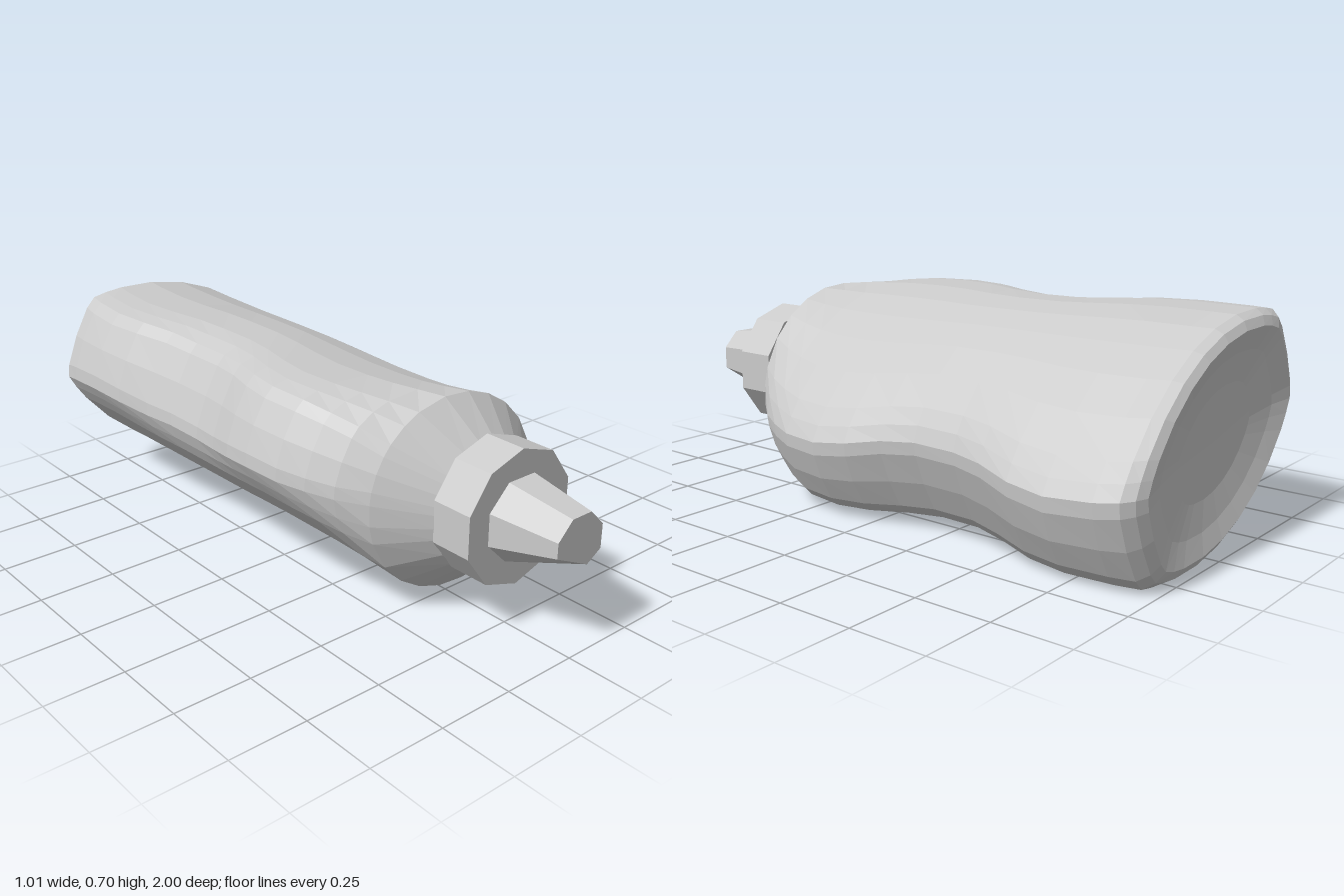
import * as THREE from 'three';

const material = new THREE.MeshStandardMaterial({ color: 0xcccccc, flatShading: true });
const { lerp } = THREE.MathUtils;
const TILT = -25 * Math.PI / 180;
const CENTRE_Y = 0.35;
const NECK_R = 0.198;

// Cross-section: shallow arcs above and below with flat flanks, rounded towards an ellipse by r
function section(hw, r) {
  const quarter = [1, 0.985, 0.955, 0.87, 0.76, 0.52, 0.26].map((f, i) => {
    const u = hw * f;
    const arc = i === 0 ? 0 : 0.31 - 0.68 * u * u - (i === 1 ? 0.035 : 0);
    return [u, lerp(arc, 0.31 * Math.sqrt(1 - f * f), r)];
  });
  const half = [...quarter, [0, 0.31], ...quarter.slice(1).reverse().map(([u, v]) => [-u, v])];
  return [...half, ...half.map(([u, v]) => [-u, -v])];
}

// One ring: half width hw, thickness scale s, rounding r, overall scale k, blend b to the round neck
function ring([z, hw, s, r, k = 1, b = 0]) {
  return section(hw, r).map(([u, v]) => {
    const a = Math.atan2(v / 0.31, u / hw);
    return [lerp(u * k, NECK_R * Math.cos(a), b), lerp(v * s * k, NECK_R * Math.sin(a), b), z];
  });
}

function loft(rows) {
  const rings = rows.map(ring);
  const n = rings[0].length;
  const index = [];
  for (let i = 0; i < rings.length - 1; i++) {
    for (let j = 0; j < n; j++) {
      const a = i * n + j, b = i * n + (j + 1) % n;
      index.push(a, b, b + n, a, b + n, a + n);
    }
  }
  const geo = new THREE.BufferGeometry();
  geo.setAttribute('position', new THREE.Float32BufferAttribute(rings.flat(2), 3));
  geo.setIndex(index);
  geo.computeVertexNormals();
  return geo;
}

function addMesh(parent, name, geometry) {
  const mesh = new THREE.Mesh(geometry, material);
  mesh.name = name;
  parent.add(mesh);
  return mesh;
}

export function createModel() {
  const model = new THREE.Group();
  model.name = 'squeezeBottle';

  // Bottle body, from the dished base through the waist to the shoulder
  const body = addMesh(model, 'body', loft([
    [-0.965, 0.48, 1, 0.4, 0.001],
    [-0.968, 0.48, 1, 0.4, 0.45],
    [-0.982, 0.48, 1, 0.4, 0.7],
    [-1.0, 0.48, 1, 0.3, 0.88],
    [-0.985, 0.48, 1, 0.25, 0.955],
    [-0.955, 0.488, 0.99, 0.15],
    [-0.88, 0.503, 0.98, 0.1],
    [-0.73, 0.515, 0.972, 0.08],
    [-0.6, 0.495, 0.965, 0.18],
    [-0.48, 0.453, 0.965, 0.35],
    [-0.37, 0.428, 0.965, 0.47],
    [-0.22, 0.424, 0.96, 0.47],
    [-0.1, 0.447, 0.945, 0.4],
    [0.02, 0.485, 0.932, 0.3],
    [0.14, 0.505, 0.922, 0.25],
    [0.27, 0.492, 0.922, 0.35],
    [0.36, 0.455, 0.932, 0.6],
    [0.44, 0.41, 0.96, 0.8],
    [0.52, 0.345, 1, 1],
    [0.645, 0.21, 1, 1, 1, 1],
  ]));
  body.position.y = CENTRE_Y;
  body.rotation.z = TILT;

  // Collar and tapered nozzle, both faceted and pointing forward
  const turned = (name, rFront, rBack, z0, z1, sides, turn) => {
    const geo = new THREE.CylinderGeometry(rFront, rBack, z1 - z0, sides);
    geo.rotateY(turn);
    geo.rotateX(Math.PI / 2);
    const mesh = addMesh(model, name, geo);
    mesh.position.set(0.004, CENTRE_Y + 0.01, (z0 + z1) / 2);
    return mesh;
  };
  turned('collar', 0.215, 0.215, 0.64, 0.78, 10, 0);
  const nozzle = turned('nozzle', 0.1, 0.138, 0.77, 1.0, 8, Math.PI / 8);

  // The tip is cut off by a slanting chord along its lower edge
  const tip = nozzle.geometry.attributes.position;
  for (let i = 0; i < tip.count; i++) {
    if (tip.getZ(i) > 0) tip.setY(i, Math.max(tip.getY(i), -0.053 - 0.47 * tip.getX(i)));
  }
  nozzle.geometry.computeVertexNormals();

  return model;
}
